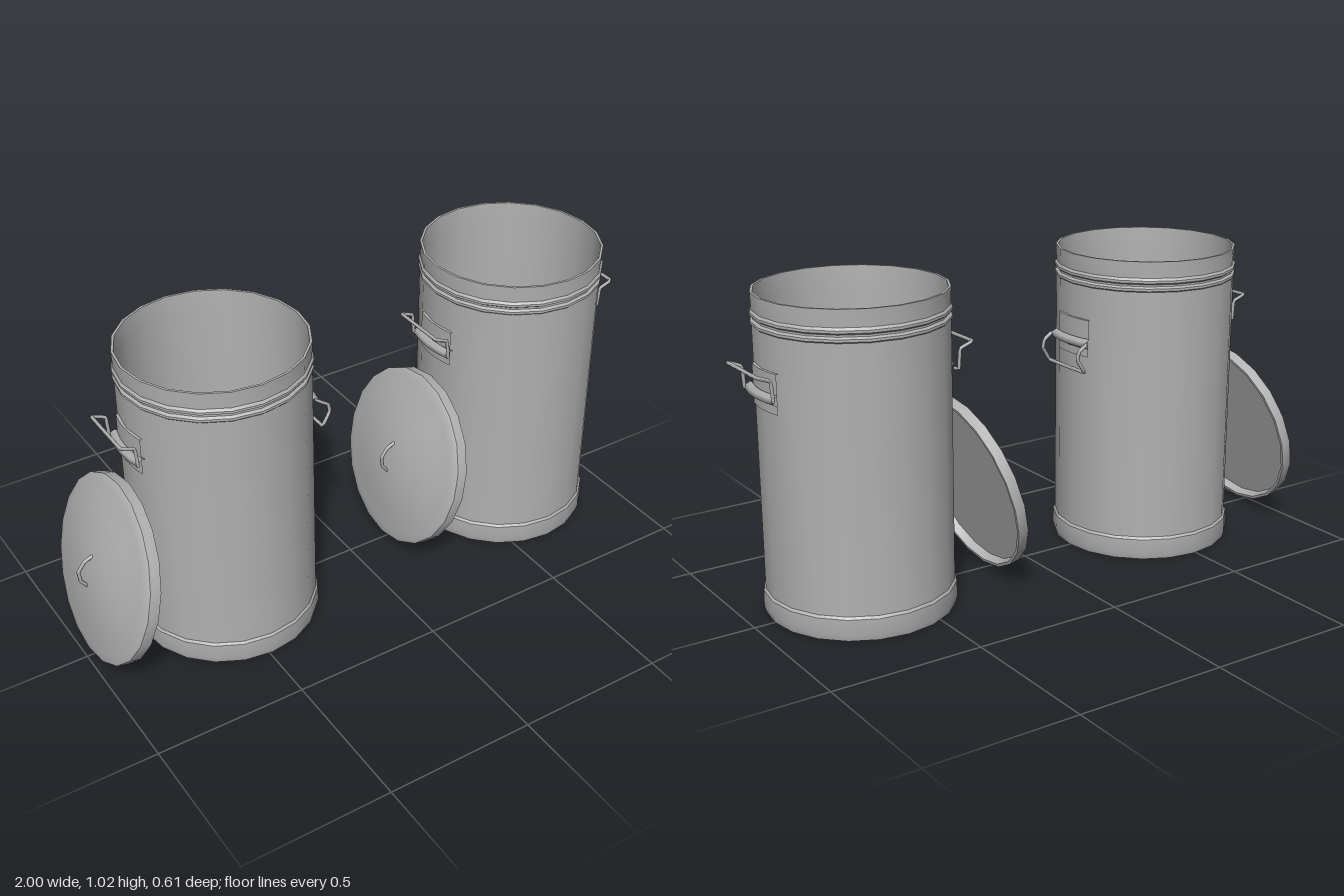
import * as THREE from 'three';
import { toCreasedNormals } from 'three/addons/utils/BufferGeometryUtils.js';

const steel = new THREE.MeshStandardMaterial({ color: 0xb0b0b0 });
steel.name = 'galvanised steel';

function part(name, geometry) {
  const mesh = new THREE.Mesh(geometry, steel);
  mesh.name = name;
  return mesh;
}

// Round part turned from a closed [radius, height] profile, with sharp edges kept
function turned(name, profile, sides) {
  const points = profile.map(([r, y]) => new THREE.Vector2(r, y));
  return part(name, toCreasedNormals(new THREE.LatheGeometry(points, sides), 0.55));
}

function wire(name, points, radius) {
  const curve = new THREE.CatmullRomCurve3(points.map((p) => new THREE.Vector3(...p)), false, 'catmullrom', 0.08);
  return part(name, new THREE.TubeGeometry(curve, 48, radius, 6));
}

// Side view [outward, up] of the wire loop in its two poses
const RAISED = [[0.315, 0.735], [0.321, 0.8], [0.365, 0.818]];
const HANGING = [[0.315, 0.738], [0.344, 0.718], [0.35, 0.69], [0.322, 0.645]];

// Side handle: mounting plate, rolled hinge sleeve and wire loop
function makeHandle(name, pose) {
  const handle = new THREE.Group();
  handle.name = name;
  const plateProfile = [[0.296, 0.688], [0.306, 0.688], [0.306, 0.812], [0.296, 0.812], [0.296, 0.688]]
    .map(([r, y]) => new THREE.Vector2(r, y));
  const plate = new THREE.LatheGeometry(plateProfile, 6, Math.PI / 2 - 0.27, 0.54);
  handle.add(part('handlePlate', toCreasedNormals(plate, 0.5)));

  const sleeve = [-0.3, -0.15, 0, 0.15, 0.3].map((a) => [0.313 * Math.cos(a), 0.735, 0.313 * Math.sin(a)]);
  handle.add(wire('hingeSleeve', sleeve, 0.017));

  const near = pose.map(([x, y]) => [x, y, -0.098]);
  const far = pose.map(([x, y]) => [x, y, 0.098]).reverse();
  const hinge = [pose[0][0] - 0.005, pose[0][1]];
  handle.add(wire('handleLoop', [[...hinge, -0.08], ...near, ...far, [...hinge, 0.08]], 0.006));
  return handle;
}

// Open bin with a flared foot, two beads and a rim band
function makeBin(name, rightPose) {
  const bin = new THREE.Group();
  bin.name = name;
  bin.add(turned('binBody', [
    [0, 0], [0.302, 0], [0.307, 0.02], [0.305, 0.07], [0.299, 0.078],
    [0.3, 0.922], [0.304, 0.926], [0.304, 0.934], [0.296, 0.94], [0.296, 0.946],
    [0.305, 0.952], [0.305, 0.96], [0.299, 0.968], [0.301, 1.022],
    [0.293, 1.022], [0.29, 0.96], [0.29, 0.012], [0, 0.012],
  ], 20));
  bin.add(makeHandle('outerHandle', rightPose));
  const other = makeHandle('innerHandle', RAISED);
  other.rotation.y = Math.PI;
  bin.add(other);
  return bin;
}

// Domed lid with a hollow underside and a bent wire grip
function makeLid(name) {
  const lid = new THREE.Group();
  lid.name = name;
  lid.add(turned('lidShell', [
    [0, 0.03], [0.29, 0.03], [0.295, 0], [0.305, 0], [0.305, 0.036],
    [0.296, 0.042], [0.27, 0.046], [0.2, 0.066], [0.1, 0.083], [0, 0.089],
  ], 20));
  lid.add(wire('lidGrip', [
    [-0.055, 0.082, 0], [-0.035, 0.108, 0], [0, 0.122, 0], [0.035, 0.108, 0], [0.055, 0.082, 0],
  ], 0.006));
  return lid;
}

export function createModel() {
  const model = new THREE.Group();
  model.name = 'trashCans';
  const sets = [['first', -0.49, HANGING], ['second', 0.63, RAISED]];
  for (const [label, x, pose] of sets) {
    const bin = makeBin(label + 'Bin', pose);
    bin.position.x = x;
    // Lid leans against the bin's side
    const lid = makeLid(label + 'Lid');
    lid.position.set(x - 0.386, 0.315, 0);
    lid.rotation.z = 1.313;
    model.add(bin, lid);
  }
  return model;
}
